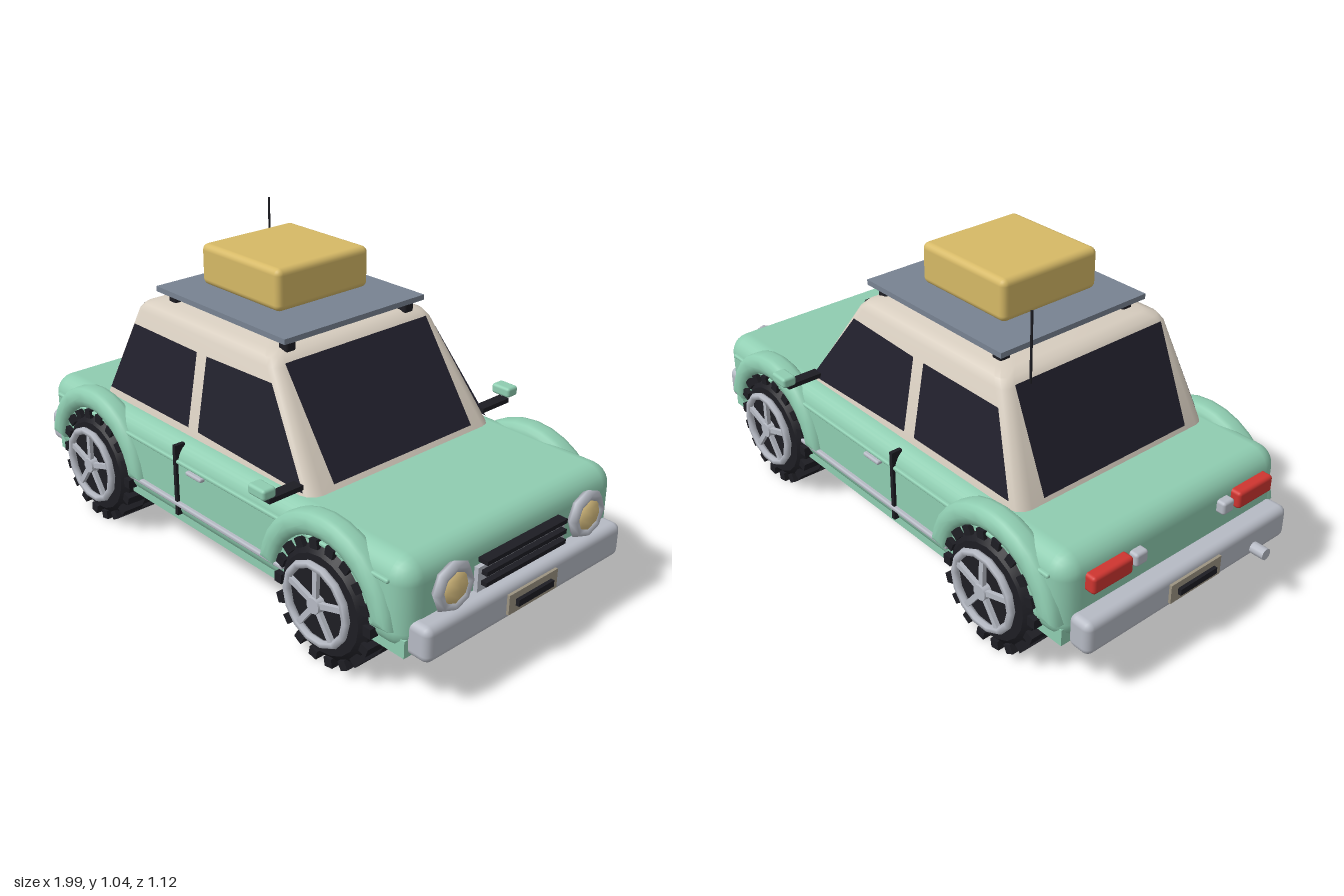
import * as THREE from 'three';
import { toCreasedNormals } from 'three/addons/utils/BufferGeometryUtils.js';
import { RoundedBoxGeometry } from 'three/addons/geometries/RoundedBoxGeometry.js';

function material(name, color, side = THREE.FrontSide) {
  const m = new THREE.MeshStandardMaterial({ color, side });
  m.name = name;
  return m;
}

// Closed shell through rounded rectangles, each [y, xMin, xMax, halfWidth, cornerRadius]
function loft(levels) {
  const pos = [], idx = [], seg = 3, n = 4 * (seg + 1);
  for (const [y, x0, x1, hz, r] of levels) {
    for (let c = 0; c < 4; c++) {
      const cx = c === 0 || c === 3 ? x1 - r : x0 + r;
      const cz = c < 2 ? hz - r : r - hz;
      for (let k = 0; k <= seg; k++) {
        const a = (c + k / seg) * Math.PI / 2;
        pos.push(cx + r * Math.cos(a), y, cz + r * Math.sin(a));
      }
    }
  }
  const last = (levels.length - 1) * n;
  const [ty, tx0, tx1] = levels[levels.length - 1];
  pos.push((tx0 + tx1) / 2, ty, 0);
  for (let i = 0; i < n; i++) {
    const j = (i + 1) % n;
    for (let l = 0; l < last; l += n) {
      idx.push(l + i, l + n + i, l + j, l + j, l + n + i, l + n + j);
    }
    idx.push(last + n, last + j, last + i);
  }
  const g = new THREE.BufferGeometry();
  g.setAttribute('position', new THREE.Float32BufferAttribute(pos, 3));
  g.setIndex(idx);
  return toCreasedNormals(g, 0.7);
}

function quad(points) {
  const g = new THREE.BufferGeometry();
  g.setAttribute('position', new THREE.Float32BufferAttribute(points.flat(), 3));
  g.setIndex([0, 1, 2, 0, 2, 3]);
  g.computeVertexNormals();
  return g;
}

export function createModel() {
  const car = new THREE.Group();
  car.name = 'car';
  const paint = material('mint paint', 0x8fcdb1);
  const cream = material('cream roof', 0xd8cec0);
  const glass = material('dark glass', 0x22212d, THREE.DoubleSide);
  const rubber = material('rubber', 0x1d1d23);
  const chrome = material('chrome', 0xb6bac4);
  const steel = material('rack steel', 0x788392);
  const tan = material('luggage tan', 0xd6b966);
  const red = material('tail red', 0xcf3530);
  const plateTone = material('plate', 0x9c9482);
  const lens = material('lamp lens', 0xd9bf80);

  function add(name, geometry, mat, x = 0, y = 0, z = 0, parent = car) {
    const m = new THREE.Mesh(geometry, mat);
    m.name = name;
    m.position.set(x, y, z);
    parent.add(m);
    return m;
  }
  // Box given by its extents
  function box(name, mat, x0, x1, y0, y1, z0, z1, round = 0) {
    const s = [x1 - x0, y1 - y0, z1 - z0];
    const g = round ? new RoundedBoxGeometry(...s, 3, round) : new THREE.BoxGeometry(...s);
    return add(name, g, mat, (x0 + x1) / 2, (y0 + y1) / 2, (z0 + z1) / 2);
  }

  // Body and cabin
  box('body', paint, -0.88, 0.915, 0.165, 0.458, -0.47, 0.47, 0.07);
  box('underbody', paint, -0.86, 0.9, 0.163, 0.22, -0.455, 0.455);
  add('cabin', loft([
    [0.44, -0.63, 0.475, 0.408, 0.05],
    [0.785, -0.487, 0.24, 0.345, 0.04],
    [0.808, -0.468, 0.218, 0.332, 0.04],
    [0.82, -0.435, 0.185, 0.3, 0.04],
  ]), cream);

  // Windows lying just outside the sloping cabin walls
  const along = (a, b, y) => a + (b - a) * (y - 0.44) / 0.345;
  const wallZ = y => along(0.408, 0.345, y) + 0.004;
  const frontX = y => along(0.475, 0.24, y) + 0.004;
  const rearX = y => along(-0.63, -0.487, y) - 0.004;
  const screen = (xAt, w) => quad([
    [xAt(0.475), 0.475, w], [xAt(0.475), 0.475, -w], [xAt(0.795), 0.795, -w], [xAt(0.795), 0.795, w],
  ]);
  add('windshield', screen(frontX, 0.305), glass);
  add('rearWindow', screen(rearX, -0.305), glass);
  const sideWindows = {
    rearSideWindow: [[-0.575, 0.485], [-0.13, 0.485], [-0.13, 0.735], [-0.475, 0.735]],
    frontSideWindow: [[-0.08, 0.485], [0.43, 0.47], [0.235, 0.745], [-0.08, 0.735]],
  };
  for (const s of [1, -1]) {
    for (const [name, pts] of Object.entries(sideWindows)) {
      const corners = pts.map(([x, y]) => [x, y, s * wallZ(y)]);
      add(name, quad(s > 0 ? corners : corners.reverse()), glass);
    }
  }

  // Fender arch, centred on its own depth
  const a0 = 0.12, arch = new THREE.Shape();
  arch.absarc(0, 0, 0.28, a0, Math.PI - a0, false);
  arch.absarc(0, 0, 0.205, Math.PI - a0, a0, true);
  const archGeo = new THREE.ExtrudeGeometry(arch, {
    depth: 0.03, bevelEnabled: true, bevelSize: 0.03, bevelOffset: -0.03,
    bevelThickness: 0.028, bevelSegments: 3, curveSegments: 7,
  });
  archGeo.translate(0, 0, -0.015);
  const fenderGeo = toCreasedNormals(archGeo, 0.6);

  // Wheel parts, axle along z, outer side at +z
  const tyreGeo = toCreasedNormals(new THREE.LatheGeometry([
    [0, -0.08], [0.16, -0.08], [0.184, -0.06], [0.188, 0], [0.184, 0.06], [0.16, 0.08], [0, 0.08],
  ].map(p => new THREE.Vector2(...p)), 20).rotateX(Math.PI / 2), 0.6);
  const lugGeo = new THREE.BoxGeometry(0.032, 0.03, 0.08);
  const ringGeo = new THREE.TorusGeometry(0.126, 0.013, 6, 14);
  const spokeGeo = new THREE.BoxGeometry(0.018, 0.12, 0.014);
  const hubGeo = new THREE.CylinderGeometry(0.026, 0.03, 0.026, 10).rotateX(Math.PI / 2);
  function wheel(x, s) {
    const w = new THREE.Group();
    w.name = 'wheel';
    w.position.set(x, 0.205, s * 0.41);
    if (s < 0) w.rotation.y = Math.PI;
    car.add(w);
    add('tyre', tyreGeo, rubber, 0, 0, 0, w);
    for (let i = 0; i < 36; i++) {
      const a = i * Math.PI / 18 + Math.PI / 2;
      const lug = add('treadBlock', lugGeo, rubber,
        0.189 * Math.cos(a), 0.189 * Math.sin(a), i % 2 ? 0.037 : -0.037, w);
      lug.rotation.z = a - Math.PI / 2;
    }
    const rim = new THREE.Group();
    rim.name = 'rim';
    rim.position.set(0, 0.008, 0.096);
    w.add(rim);
    add('rimRing', ringGeo, chrome, 0, 0, 0, rim);
    add('hub', hubGeo, chrome, 0, 0, 0, rim);
    for (let i = 0; i < 5; i++) {
      const a = 0.3 + i * Math.PI * 0.4;
      const spoke = add('spoke', spokeGeo, chrome, 0.068 * Math.cos(a), 0.068 * Math.sin(a), 0, rim);
      spoke.rotation.z = a - Math.PI / 2;
    }
  }

  for (const s of [1, -1]) {
    for (const x of [-0.578, 0.596]) {
      wheel(x, s);
      add('fender', fenderGeo, paint, x - 0.005, 0.206, s * 0.452);
    }
    // Extents mirrored across the car for side details
    const sideBox = (name, mat, x0, x1, y0, y1, z0, z1, round) =>
      box(name, mat, x0, x1, y0, y1, Math.min(s * z0, s * z1), Math.max(s * z0, s * z1), round);
    sideBox('beltMoulding', paint, -0.82, 0.85, 0.388, 0.402, 0.44, 0.478, 0.006);
    sideBox('sillTrim', chrome, -0.38, 0.42, 0.234, 0.25, 0.46, 0.484, 0.006);
    sideBox('doorSeam', rubber, -0.116, -0.102, 0.2, 0.452, 0.44, 0.48);
    sideBox('doorHandle', chrome, -0.045, 0.035, 0.373, 0.387, 0.46, 0.487, 0.006);
    sideBox('mirrorStalk', rubber, 0.385, 0.425, 0.478, 0.494, 0.4, 0.53);
    sideBox('mirror', paint, 0.362, 0.437, 0.5, 0.535, 0.512, 0.562, 0.01);

    // Lamps
    const ring = add('headlightRing', new THREE.TorusGeometry(0.063, 0.019, 5, 8), chrome, 0.93, 0.347, s * 0.3);
    ring.rotation.y = Math.PI / 2;
    const bulb = add('headlight', new THREE.SphereGeometry(0.06, 8, 6), lens, 0.925, 0.347, s * 0.3);
    bulb.scale.x = 0.55;
    sideBox('tailLight', red, -0.915, -0.86, 0.34, 0.4, 0.23, 0.39, 0.012);
    sideBox('reverseLight', chrome, -0.91, -0.86, 0.345, 0.39, 0.165, 0.215, 0.01);

    // Rack feet
    for (const x of [-0.37, 0.19]) {
      box('rackFoot', rubber, x - 0.02, x + 0.02, 0.81, 0.852, s * 0.255 - 0.02, s * 0.255 + 0.02, 0.008);
    }
  }

  // Grille
  box('grillePanel', chrome, 0.9, 0.93, 0.27, 0.36, -0.195, 0.195);
  for (const [y, w] of [[0.377, 0.18], [0.342, 0.18], [0.307, 0.18]]) {
    box('grilleBar', rubber, 0.9, 0.95, y - 0.007, y + 0.007, -w, w);
  }

  // Bumpers and number plates
  box('frontBumper', chrome, 0.875, 0.972, 0.165, 0.28, -0.44, 0.44, 0.025);
  box('rearBumper', chrome, -0.95, -0.865, 0.165, 0.28, -0.44, 0.44, 0.025);
  for (const [e, x] of [[1, 0.975], [-1, -0.953]]) {
    const span = (a, b) => [Math.min(x + e * a, x + e * b), Math.max(x + e * a, x + e * b)];
    box('numberPlate', plateTone, ...span(-0.006, 0.006), 0.19, 0.256, -0.11, 0.11);
    box('plateBar', rubber, ...span(0, 0.018), 0.212, 0.234, -0.08, 0.08);
  }
  const pipe = add('exhaust', new THREE.CylinderGeometry(0.02, 0.02, 0.18, 10), chrome, -0.91, 0.198, 0.28);
  pipe.rotation.z = Math.PI / 2;

  // Roof load and antenna
  box('roofRack', steel, -0.42, 0.23, 0.85, 0.868, -0.3, 0.3);
  box('luggage', tan, -0.31, 0.08, 0.88, 1.02, -0.195, 0.195, 0.022);
  add('antenna', new THREE.CylinderGeometry(0.004, 0.004, 0.23, 6), rubber, -0.53, 0.927, -0.285);

  return car;
}
